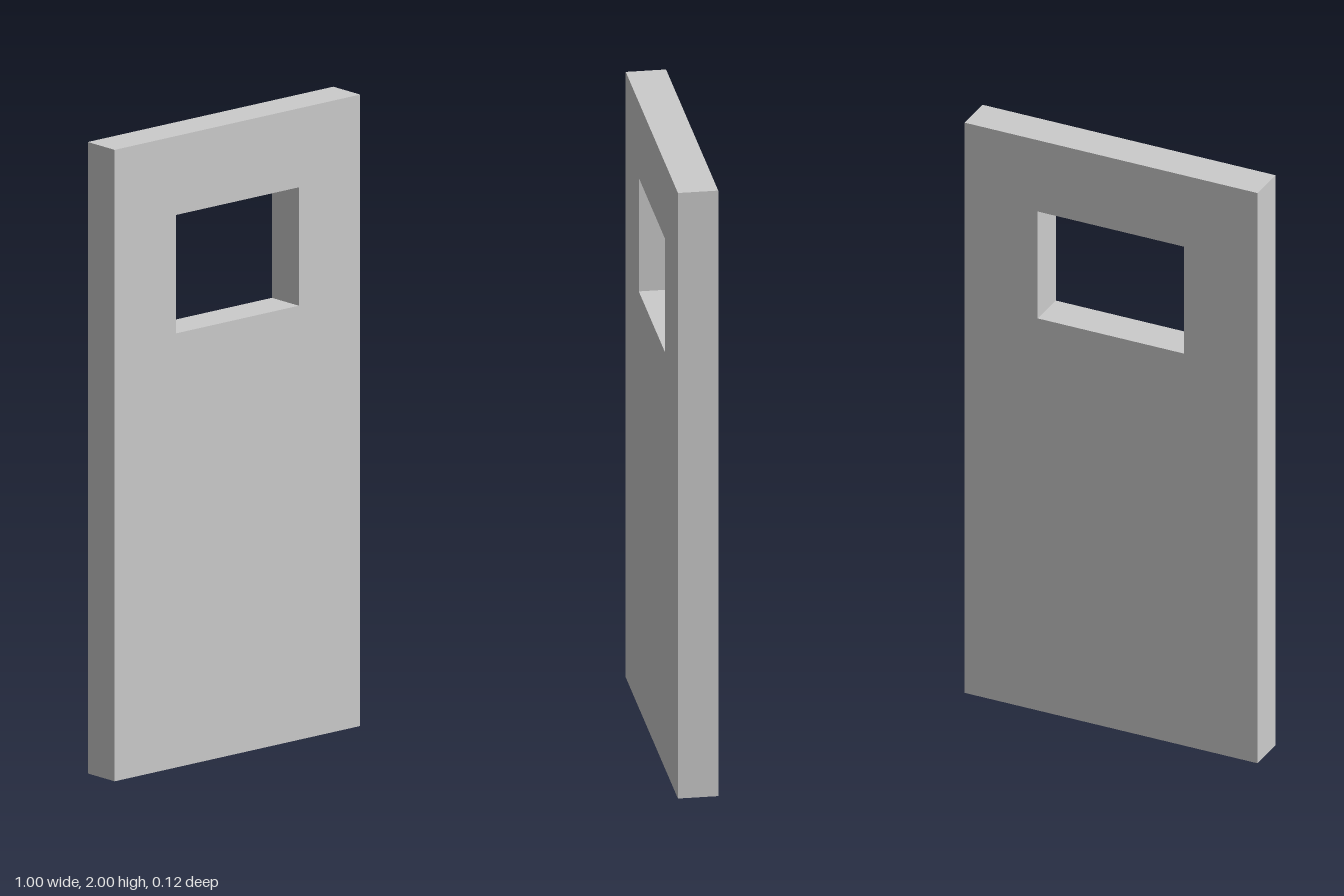
import * as THREE from 'three';

const WIDTH = 1, HEIGHT = 2, DEPTH = 0.125;

// Adds a closed rectangle to a shape or path
function rectangle(path, left, bottom, right, top) {
  path.moveTo(left, bottom);
  path.lineTo(right, bottom);
  path.lineTo(right, top);
  path.lineTo(left, top);
  path.closePath();
  return path;
}

export function createModel() {
  const group = new THREE.Group();
  group.name = 'door';

  // Slab with a rectangular window opening cut right through
  const outline = rectangle(new THREE.Shape(), -WIDTH / 2, 0, WIDTH / 2, HEIGHT);
  outline.holes.push(rectangle(new THREE.Path(), -0.25, 1.375, 0.25, 1.75));

  const geometry = new THREE.ExtrudeGeometry(outline, { depth: DEPTH, bevelEnabled: false });
  geometry.translate(0, 0, -DEPTH / 2);

  const material = new THREE.MeshStandardMaterial({ color: 0xcccccc, flatShading: true });
  const panel = new THREE.Mesh(geometry, material);
  panel.name = 'doorPanel';
  group.add(panel);

  return group;
}
